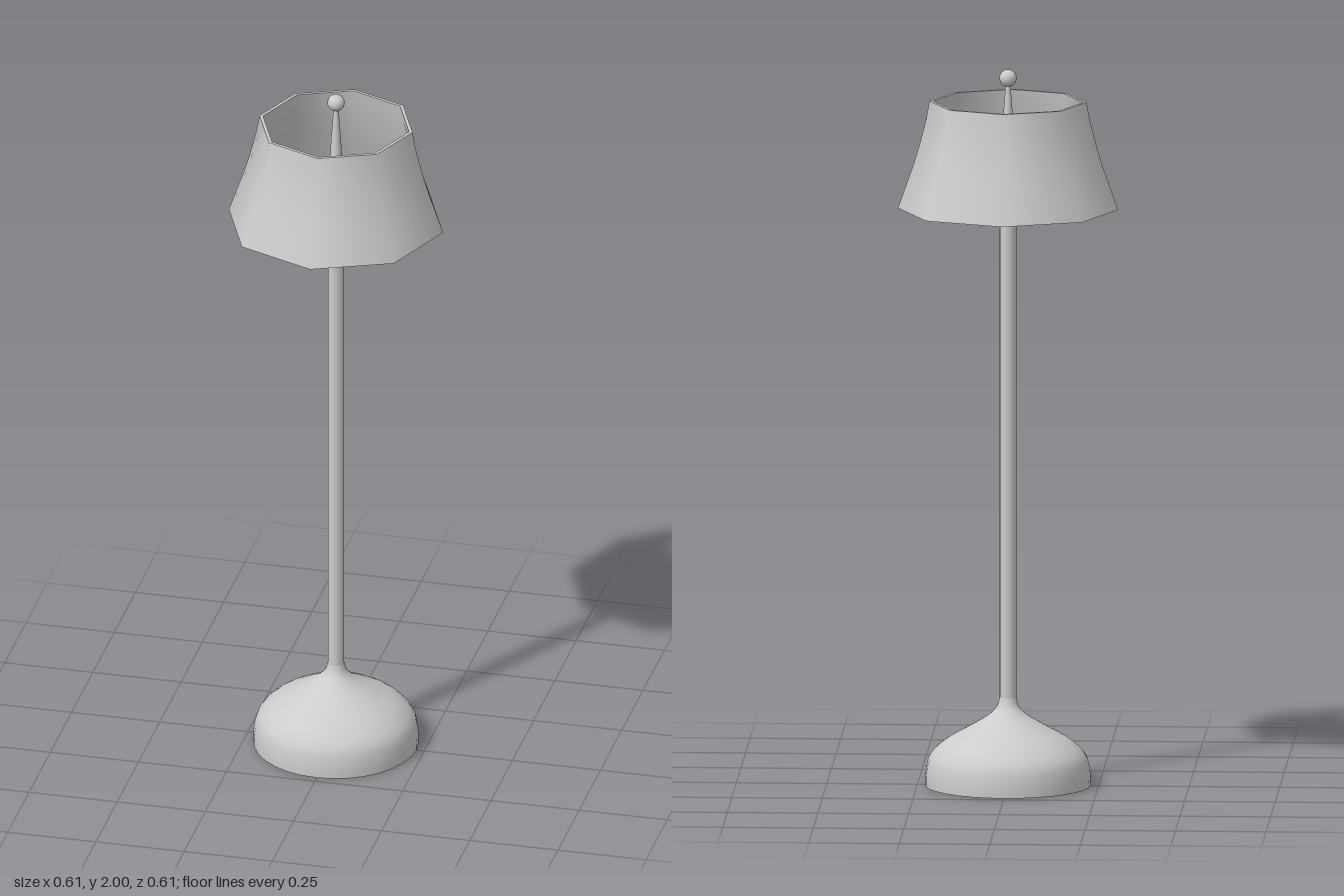
import * as THREE from 'three';

const grey = new THREE.MeshStandardMaterial({ color: 0xcccccc });
const thin = new THREE.MeshStandardMaterial({ color: 0xcccccc, side: THREE.DoubleSide });

export function createModel() {
  const model = new THREE.Group();
  const add = (name, geometry, material = grey) => {
    const mesh = new THREE.Mesh(geometry, material);
    mesh.name = name;
    model.add(mesh);
    return mesh;
  };
  const lathe = (pairs, sides) =>
    new THREE.LatheGeometry(pairs.map(([r, y]) => new THREE.Vector2(r, y)), sides);

  // Hollow bell-shaped foot, open underneath
  const bell = new THREE.SplineCurve([
    [0.228, 0], [0.227, 0.04], [0.215, 0.085], [0.175, 0.125], [0.115, 0.16],
    [0.06, 0.192], [0.032, 0.218], [0.023, 0.245],
  ].map(([r, y]) => new THREE.Vector2(r, y)));
  add('base', new THREE.LatheGeometry(bell.getPoints(24), 32), thin);

  // Pole
  add('pole', new THREE.CylinderGeometry(0.023, 0.023, 1.4, 16)).position.y = 0.925;

  // Hub that carries the shade
  const hubY = 1.645;
  add('hub', new THREE.SphereGeometry(0.048, 16, 12)).position.y = hubY;

  // Tapering stem and ball finial
  add('finialStem', lathe([[0.023, 1.66], [0.02, 1.74], [0.014, 1.86], [0.009, 1.93], [0.007, 1.97]], 16));
  add('finialBall', new THREE.SphereGeometry(0.024, 16, 12)).position.y = 1.976;

  // Octagonal shade: outer wall, inner wall and flat rims
  const wall = 0.01;
  const profile = [[0.304, 1.61], [0.283, 1.67], [0.26, 1.735], [0.241, 1.8], [0.226, 1.86], [0.217, 1.91]];
  const inner = profile.map(([r, y]) => [r - wall, y]);
  const bottom = profile[0], top = profile[profile.length - 1];
  add('shadeOuter', lathe(profile, 8));
  add('shadeInner', lathe([...inner].reverse(), 8));
  add('shadeTopRim', lathe([top, inner[inner.length - 1]], 8));
  add('shadeBottomRim', lathe([inner[0], bottom], 8));

  // Four spokes from the hub to the middles of alternate shade panels
  const length = 0.262;
  for (let i = 0; i < 4; i++) {
    const geometry = new THREE.BoxGeometry(length, 0.016, 0.016).translate(length / 2, 0, 0);
    const spoke = add('spoke', geometry);
    spoke.position.y = hubY;
    spoke.rotation.y = -Math.PI / 8 + i * Math.PI / 2;
  }
  return model;
}
